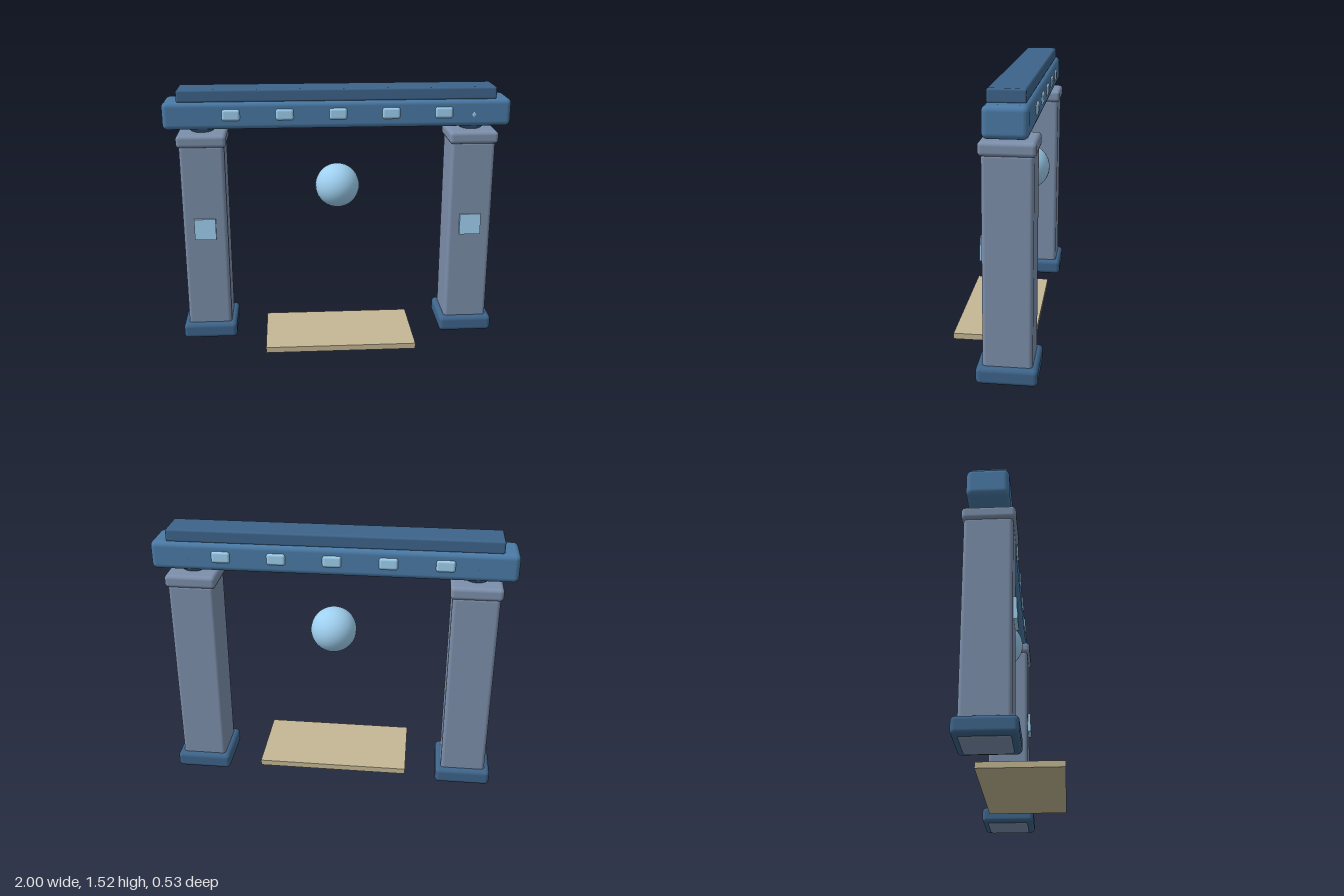
import * as THREE from 'three';
import { RoundedBoxGeometry } from 'three/addons/geometries/RoundedBoxGeometry.js';

const mat = (color) => new THREE.MeshStandardMaterial({ color });
const stone = mat(0x7c8fab), navy = mat(0x3d648a), blue = mat(0x4a7aa6);
const glow = mat(0x9fd0f0), sand = mat(0xc4b795);

const Z = -0.105; // centre plane of the gate

function add(parent, name, geometry, material, x, y, z) {
  const mesh = new THREE.Mesh(geometry, material);
  mesh.name = name;
  mesh.position.set(x, y, z);
  parent.add(mesh);
  return mesh;
}

// Rounded block given by width, depth and its bottom and top heights
function block(parent, name, material, x, z, w, d, y0, y1, r) {
  const geometry = new RoundedBoxGeometry(w, y1 - y0, d, 4, r);
  return add(parent, name, geometry, material, x, (y0 + y1) / 2, z);
}

function pillar(name, x) {
  const g = new THREE.Group();
  g.name = name;
  g.position.x = x;
  block(g, 'base', navy, 0, Z + 0.002, 0.32, 0.32, 0.008, 0.102, 0.025);
  block(g, 'shaft', stone, 0, Z, 0.258, 0.258, 0, 1.21, 0.022);
  block(g, 'cap', stone, 0, Z + 0.002, 0.285, 0.285, 1.197, 1.27, 0.022);
  add(g, 'bearingBall', new THREE.SphereGeometry(0.112, 24, 16), navy, 0, 1.365, Z);
  // Slightly tilted rune plate on the front face
  const plate = add(g, 'runePlate', new THREE.BoxGeometry(0.125, 0.125, 0.025), glow, 0, 0.707, 0.029);
  plate.rotation.x = -0.04;
  return g;
}

export function createModel() {
  const model = new THREE.Group();
  model.name = 'gate';

  model.add(pillar('leftPillar', 0.783), pillar('rightPillar', -0.786));

  // Lintel and its top slab
  block(model, 'lintel', blue, -0.002, Z + 0.001, 1.996, 0.225, 1.295, 1.455, 0.03);
  block(model, 'topSlab', navy, -0.003, Z + 0.004, 1.825, 0.192, 1.45, 1.522, 0.012);

  // Gems that pass through the lintel and show on both faces
  for (let i = -2; i <= 2; i++) {
    block(model, 'gem', glow, -0.003 + i * 0.304, Z + 0.001, 0.105, 0.244, 1.346, 1.414, 0.016);
  }

  // Small diamond stud on the front of the lintel
  const stud = add(model, 'stud', new THREE.OctahedronGeometry(0.02), glow, 0.78, 1.365, 0.008);
  stud.scale.set(0.75, 1, 0.15);

  // Floating orb and floor slab
  add(model, 'orb', new THREE.SphereGeometry(0.131, 32, 24), glow, -0.002, 0.924, Z);
  add(model, 'floorSlab', new THREE.BoxGeometry(0.886, 0.034, 0.465), sand, -0.002, 0.025, 0.033);

  return model;
}
